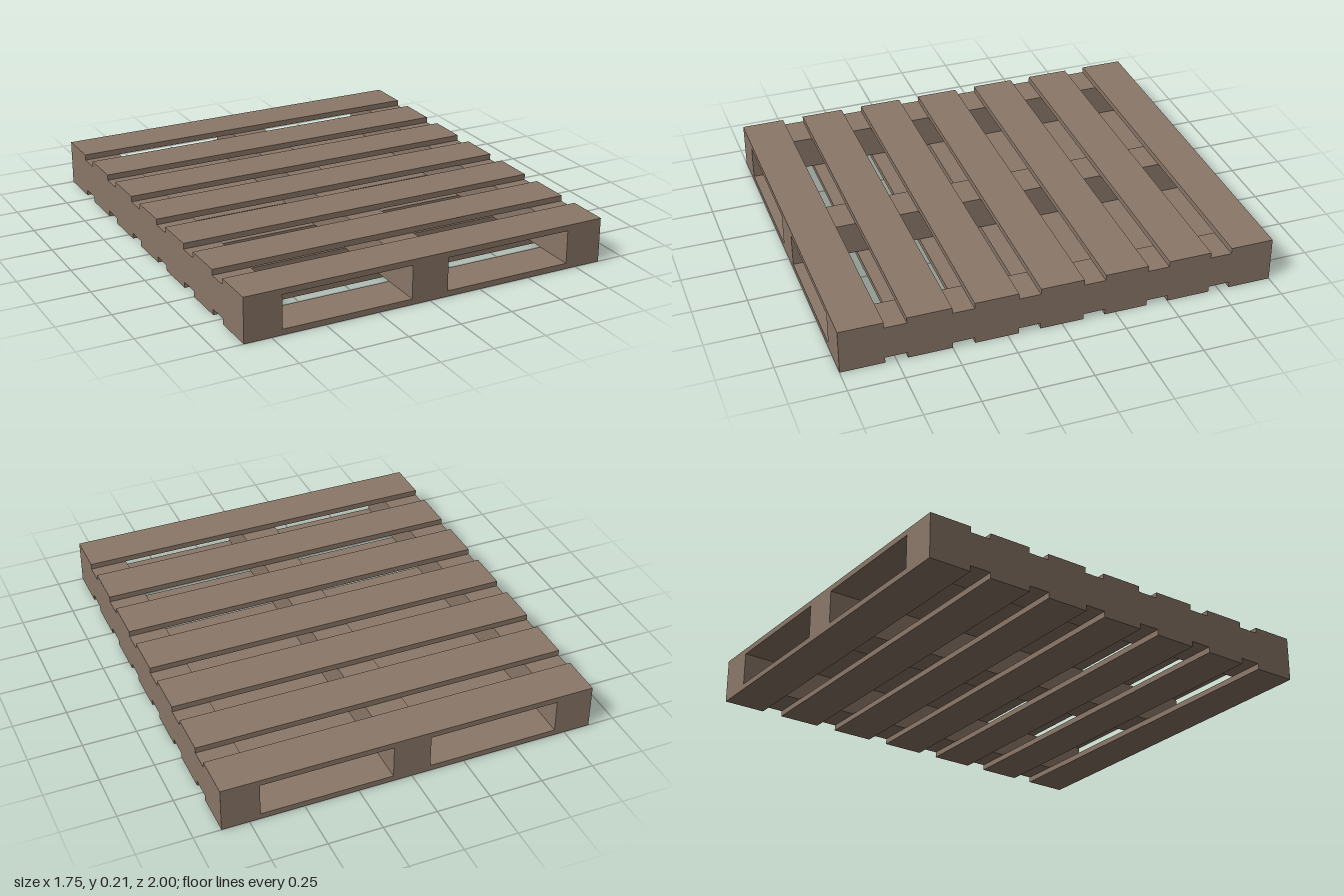
import * as THREE from 'three';

const WIDTH = 1.75, LENGTH = 2, HEIGHT = 0.21;
const SLAT_DEPTH = 0.2, SLAT_THICK = 0.027, SLAT_PITCH = 0.3, SLATS = 7;
const BEAM_WIDTH = 0.175;

export function createModel() {
  const pallet = new THREE.Group();
  pallet.name = 'pallet';

  const wood = new THREE.MeshStandardMaterial({ color: 0x8b7768 });
  wood.name = 'wood';

  const addBox = (name, w, h, d, x, y, z) => {
    const mesh = new THREE.Mesh(new THREE.BoxGeometry(w, h, d), wood);
    mesh.name = name;
    mesh.position.set(x, y, z);
    pallet.add(mesh);
  };

  // Three lengthwise beams between the two decks
  const beamX = (WIDTH - BEAM_WIDTH) / 2;
  [['rightBeam', -beamX], ['centreBeam', 0], ['leftBeam', beamX]].forEach(([name, x]) =>
    addBox(name, BEAM_WIDTH, HEIGHT - 2 * SLAT_THICK, LENGTH, x, HEIGHT / 2, 0));

  // Matching crosswise slats on the top and bottom
  for (let i = 0; i < SLATS; i++) {
    const z = (i - (SLATS - 1) / 2) * SLAT_PITCH;
    addBox(`topSlat${i + 1}`, WIDTH, SLAT_THICK, SLAT_DEPTH, 0, HEIGHT - SLAT_THICK / 2, z);
    addBox(`bottomSlat${i + 1}`, WIDTH, SLAT_THICK, SLAT_DEPTH, 0, SLAT_THICK / 2, z);
  }

  return pallet;
}
